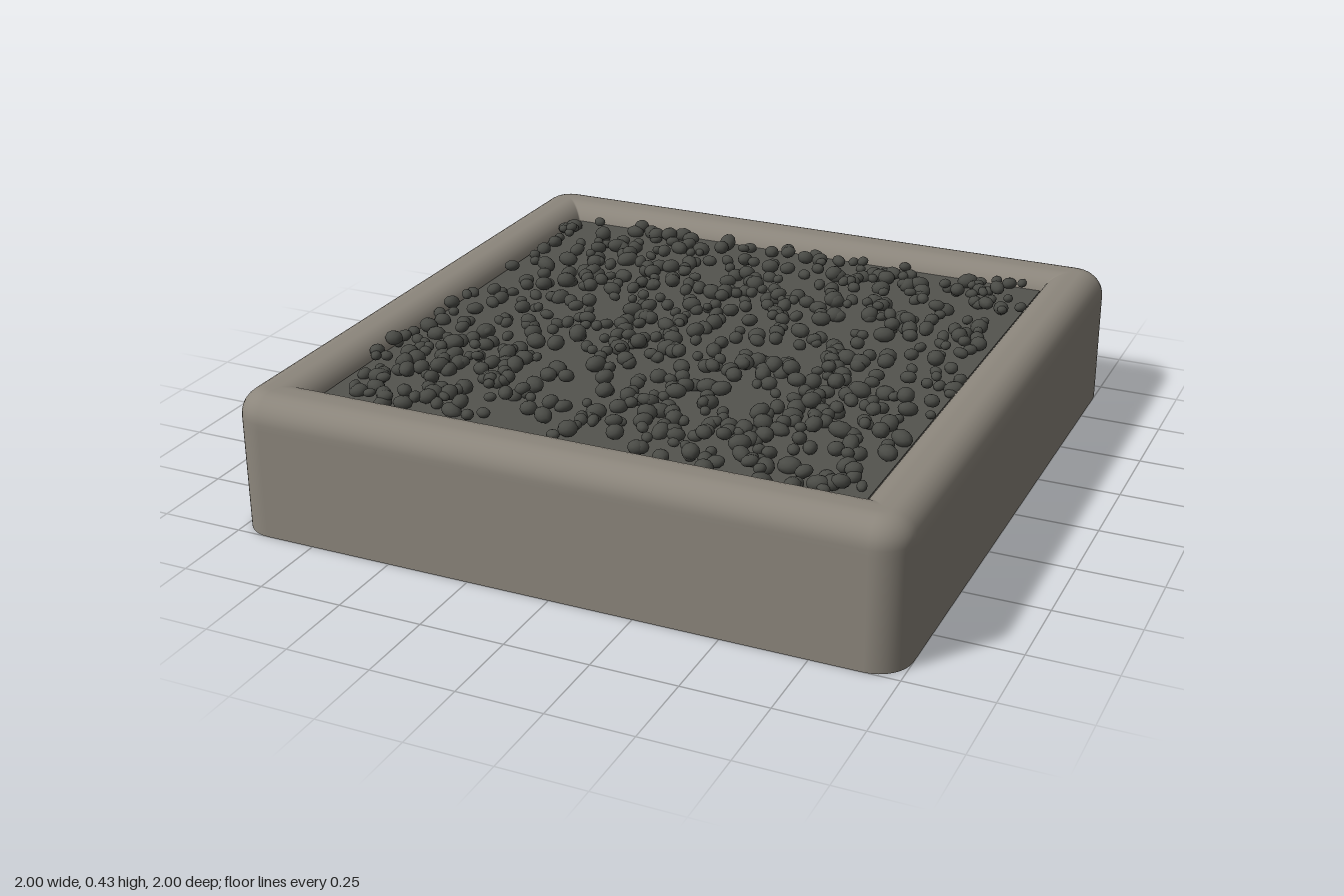
import * as THREE from 'three';
import { mergeGeometries } from 'three/addons/utils/BufferGeometryUtils.js';

const SOIL_Y = 0.375;
const CORNER_STEPS = 8;

// Rounded-square loop inset from the outer edge, counter-clockwise from above
function ring(inset, y) {
  const half = 1 - inset;
  const r = Math.min(half, Math.max(0.1 - inset, 0.004));
  const points = [];
  for (let corner = 0; corner < 4; corner++) {
    const mid = (corner + 0.5) * Math.PI / 2;
    const cx = Math.sign(Math.cos(mid)) * (half - r);
    const cz = -Math.sign(Math.sin(mid)) * (half - r);
    for (let i = 0; i <= CORNER_STEPS; i++) {
      const a = (corner + i / CORNER_STEPS) * Math.PI / 2;
      points.push(cx + r * Math.cos(a), y, cz - r * Math.sin(a));
    }
  }
  return points;
}

// Skin through [inset, y] loops with smooth normals
function loft(profile) {
  const n = 4 * (CORNER_STEPS + 1);
  const index = [];
  for (let i = 0; i < profile.length - 1; i++) {
    for (let j = 0; j < n; j++) {
      const a = i * n + j, b = i * n + (j + 1) % n;
      index.push(a, b, b + n, a, b + n, a + n);
    }
  }
  const geometry = new THREE.BufferGeometry();
  geometry.setAttribute('position', new THREE.Float32BufferAttribute(profile.flatMap(([d, y]) => ring(d, y)), 3));
  geometry.setIndex(index);
  geometry.computeVertexNormals();
  return geometry;
}

function seededRandom(seed) {
  return () => {
    seed = (seed * 1664525 + 1013904223) % 4294967296;
    return seed / 4294967296;
  };
}

export function createModel() {
  const group = new THREE.Group();
  const stone = new THREE.MeshStandardMaterial({ name: 'stone', color: 0x8c867c });
  const soil = new THREE.MeshStandardMaterial({ name: 'soil', color: 0x53534e });
  const pebble = new THREE.MeshStandardMaterial({ name: 'pebble', color: 0x4a4b46 });
  const add = (name, geometry, material) => {
    const mesh = new THREE.Mesh(geometry, material);
    mesh.name = name;
    group.add(mesh);
    return mesh;
  };

  // Tray walls: straight outside, rounded rim, curve down to the filling
  const profile = [[0, 0], [0, 0.33]];
  for (let i = 0; i <= 8; i++) {
    const a = i / 8 * Math.PI / 2;
    profile.push([0.075 * (1 - Math.cos(a)), 0.35 + 0.075 * Math.sin(a)]);
  }
  for (let i = 0; i <= 8; i++) {
    const a = i / 8 * Math.PI / 2;
    profile.push([0.105 + 0.075 * Math.sin(a), 0.35 + 0.075 * Math.cos(a)]);
  }
  profile.push([0.18, 0.33]);
  add('trayWalls', loft(profile), stone);

  // Flat underside
  add('trayBase', loft([[1, 0], [0, 0]]), stone);

  // Soil surface
  const bed = add('soilBed', new THREE.BoxGeometry(1.64, 0.04, 1.64), soil);
  bed.position.y = SOIL_Y - 0.02;

  // Scattered, partly sunk oval pebbles
  const random = seededRandom(29);
  const unit = new THREE.IcosahedronGeometry(1, 1);
  const matrix = new THREE.Matrix4();
  const pebbles = [];
  for (let i = 0; i < 760; i++) {
    const size = 0.014 + 0.013 * random();
    const position = new THREE.Vector3(
      (random() * 2 - 1) * 0.82,
      SOIL_Y + 0.008 + 0.022 * random(),
      (random() * 2 - 1) * 0.82
    );
    const turn = new THREE.Quaternion().setFromEuler(
      new THREE.Euler((random() - 0.5) * 0.5, random() * Math.PI * 2, (random() - 0.5) * 0.5)
    );
    const scale = new THREE.Vector3(size * (1.05 + 0.3 * random()), size * 0.88, size);
    pebbles.push(unit.clone().applyMatrix4(matrix.compose(position, turn, scale)));
  }
  add('pebbles', mergeGeometries(pebbles), pebble);

  return group;
}
